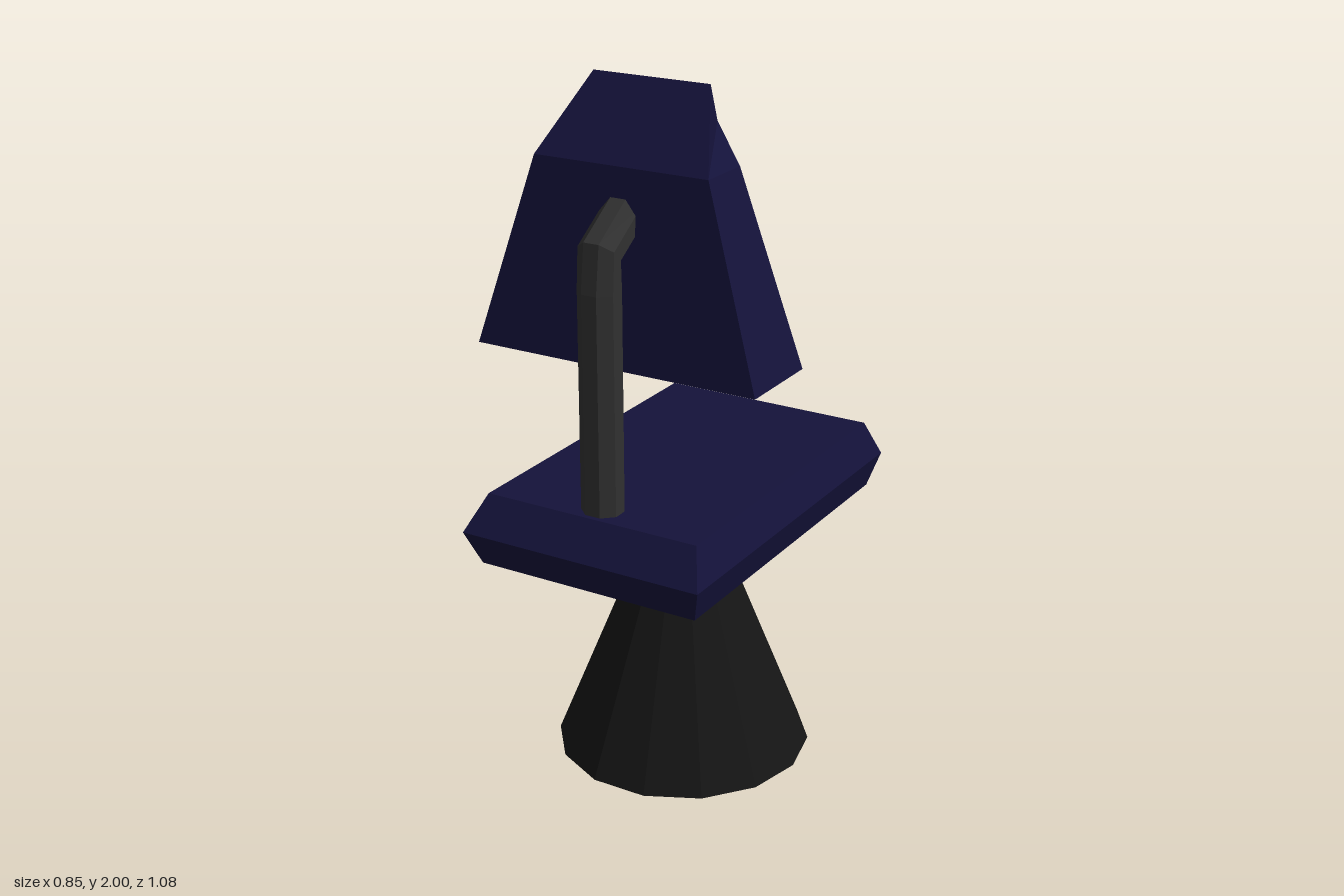
import * as THREE from 'three';

const material = (color) => new THREE.MeshStandardMaterial({ color, flatShading: true });

// Closed solid through rings of points, bottom to top, each counterclockwise seen from above.
function loft(rings) {
  const n = rings[0].length;
  const pos = [];
  const tri = (a, b, c) => pos.push(...a, ...b, ...c);
  for (let r = 0; r < rings.length - 1; r++) {
    const lo = rings[r], hi = rings[r + 1];
    for (let i = 0; i < n; i++) {
      const j = (i + 1) % n;
      tri(lo[i], lo[j], hi[j]);
      tri(lo[i], hi[j], hi[i]);
    }
  }
  const first = rings[0], last = rings[rings.length - 1];
  for (let i = 1; i < n - 1; i++) {
    tri(first[0], first[i + 1], first[i]);
    tri(last[0], last[i], last[i + 1]);
  }
  const geometry = new THREE.BufferGeometry();
  geometry.setAttribute('position', new THREE.Float32BufferAttribute(pos, 3));
  geometry.computeVertexNormals();
  return geometry;
}

// Four-cornered ring: half width, then height and depth of its front and back edges.
const quad = (w, yFront, zFront, yBack, zBack) => [
  [w, yFront, zFront], [w, yBack, zBack], [-w, yBack, zBack], [-w, yFront, zFront],
];

// Round ring in the post, leaning backwards by the given angle.
function tubeRing(y, z, lean, radius = 0.055, sides = 8) {
  return Array.from({ length: sides }, (_, i) => {
    const t = ((i + 0.5) / sides) * Math.PI * 2;
    const d = radius * Math.sin(t);
    const w = (radius * Math.cos(t)) / Math.cos(Math.PI / sides);
    return [w, y - d * Math.sin(lean), z - d * Math.cos(lean)];
  });
}

export function createModel() {
  const group = new THREE.Group();
  const navy = material(0x14123a);
  const black = material(0x151515);
  const darkGrey = material(0x303030);

  const add = (name, geometry, mat) => {
    const mesh = new THREE.Mesh(geometry, mat);
    mesh.name = name;
    group.add(mesh);
    return mesh;
  };

  // Tapered pedestal with a blue underside
  const sides = 14;
  const cone = new THREE.CylinderGeometry(0.09, 0.37, 0.7, sides, 1, true, Math.PI / 2);
  add('pedestal', cone, black).position.set(0, 0.35, -0.01);
  const underside = add('pedestalUnderside', new THREE.CircleGeometry(0.37, sides), navy);
  underside.rotation.x = Math.PI / 2;
  underside.position.z = -0.01;

  // Bevelled seat cushion
  add('seat', loft([
    quad(0.335, 0.69, 0.5, 0.69, -0.515),
    quad(0.367, 0.79, 0.542, 0.79, -0.542),
    quad(0.325, 0.89, 0.475, 0.89, -0.505),
  ]), navy);

  // Tapered backrest with a sloping top
  add('backrest', loft([
    quad(0.425, 1.27, 0.358, 1.27, 0.1),
    quad(0.26, 1.8, 0.31, 1.8, 0.15),
    quad(0.175, 2, 0.153, 1.9, 0.117),
  ]), navy);

  // Bent post joining seat and backrest
  add('backrestPost', loft([
    tubeRing(0.85, 0.41, 0),
    tubeRing(1.5, 0.41, 0),
    tubeRing(1.598, 0.408, 0.75),
    tubeRing(1.68, 0.285, 0.96),
  ]), darkGrey);

  return group;
}
